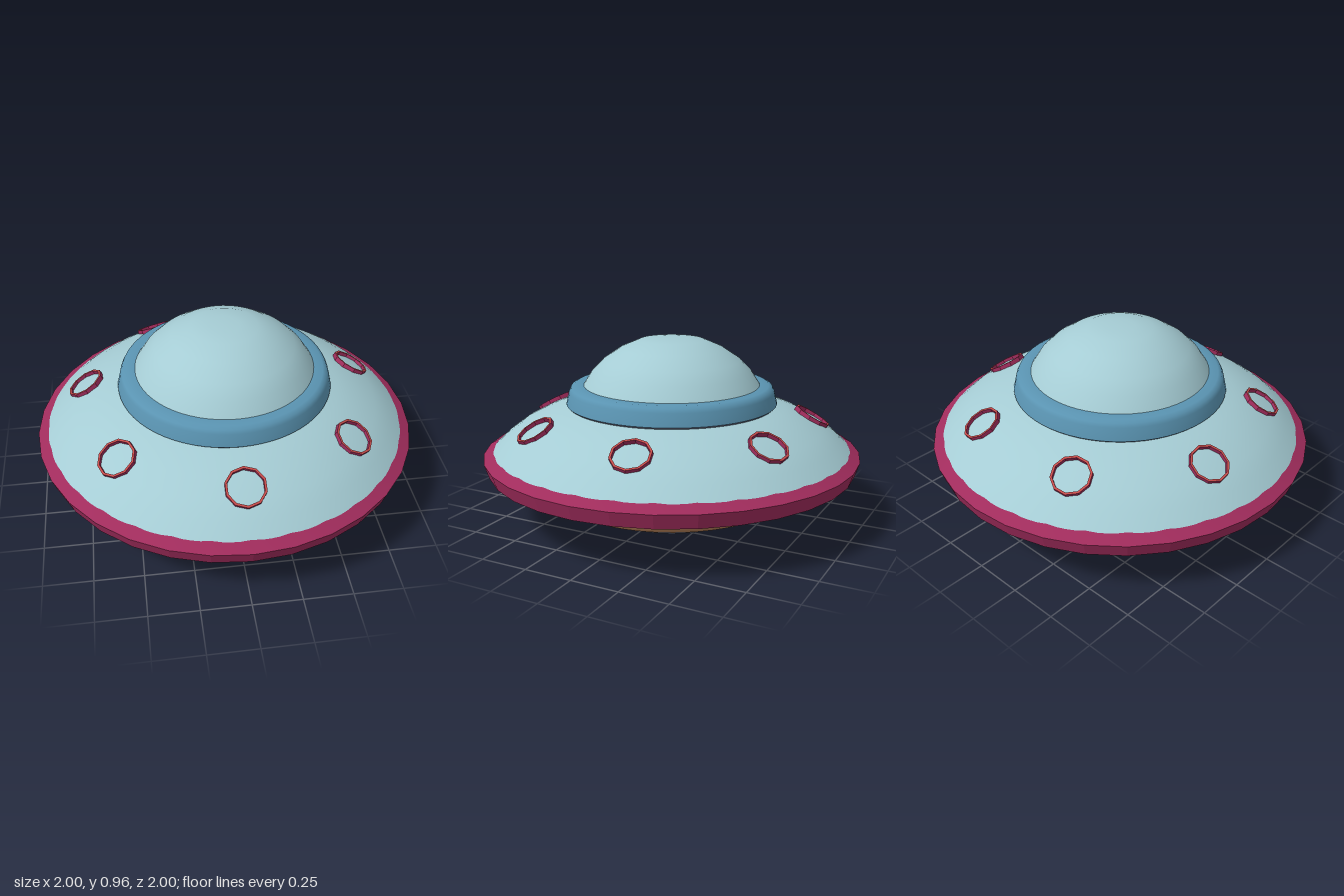
import * as THREE from 'three';
import { toCreasedNormals } from 'three/addons/utils/BufferGeometryUtils.js';

const paint = (name, color) => {
  const m = new THREE.MeshStandardMaterial({ color });
  m.name = name;
  return m;
};

export function createModel() {
  const paleBlue = paint('pale blue', 0xa5ccd4);
  const blue = paint('collar blue', 0x5a94b2);
  const magenta = paint('magenta', 0xa02c5c);
  const red = paint('porthole red', 0xc44a4a);
  const copper = paint('copper', 0xb27e56);
  const slate = paint('slate', 0x68718a);

  const saucer = new THREE.Group();
  saucer.name = 'saucer';

  // Revolves [radius, height] points, listed upwards along the outside
  const turned = (name, material, profile, sides = 64, crease = 0.5) => {
    const points = profile.map(([r, y]) => new THREE.Vector2(r, y));
    const geometry = toCreasedNormals(new THREE.LatheGeometry(points, sides), crease);
    const mesh = new THREE.Mesh(geometry, material);
    mesh.name = name;
    return mesh;
  };

  saucer.add(
    // Landing ring with a recessed centre
    turned('thrusterRing', slate, [
      [0, 0.09], [0.25, 0.09], [0.255, 0.005], [0.345, 0.005], [0.362, 0.01], [0.37, 0.025], [0.37, 0.1],
    ]),
    turned('bellyPlate', copper, [
      [0.35, 0.085], [0.59, 0.115], [0.625, 0.125], [0.643, 0.145], [0.652, 0.205],
    ], 64, 0.7),
    turned('lowerHull', paleBlue, [[0.6, 0.19], [0.67, 0.205], [0.79, 0.24], [0.92, 0.29]]),
    // Faceted outer rim
    turned('rim', magenta, [[0.9, 0.285], [0.975, 0.285], [1, 0.36], [0.93, 0.4]], 32, 0.1),
    turned('upperHull', paleBlue, [
      [0.945, 0.39], [0.88, 0.45], [0.8, 0.508], [0.7, 0.56], [0.6, 0.602], [0.5, 0.625],
    ]),
    // Cockpit surround
    turned('collarBase', slate, [[0.48, 0.612], [0.545, 0.612], [0.558, 0.624]]),
    turned('collar', blue, [
      [0.558, 0.624], [0.542, 0.69], [0.532, 0.71], [0.512, 0.72], [0.46, 0.72],
    ], 64, 0.8),
    turned('dome', paleBlue, [
      [0.468, 0.715], [0.42, 0.79], [0.36, 0.85], [0.27, 0.91], [0.17, 0.953], [0.08, 0.961], [0, 0.964],
    ]),
  );

  // Seven ten-sided porthole frames around the sloped hull
  for (let i = 0; i < 7; i++) {
    const arm = new THREE.Group();
    arm.name = 'portholeArm';
    arm.rotation.y = (i / 7) * Math.PI * 2;
    const porthole = new THREE.Group();
    porthole.name = 'porthole';
    porthole.position.set(0, 0.542, 0.75);
    porthole.rotation.x = 0.52;
    porthole.add(
      turned('frameOuterWall', magenta, [[0.102, -0.03], [0.102, 0.01]], 10, 0.1),
      turned('frameInnerWall', magenta, [[0.09, 0.01], [0.09, -0.03]], 10, 0.1),
      turned('frameFace', red, [[0.102, 0.01], [0.09, 0.01]], 10, 0.1),
    );
    arm.add(porthole);
    saucer.add(arm);
  }

  return saucer;
}
